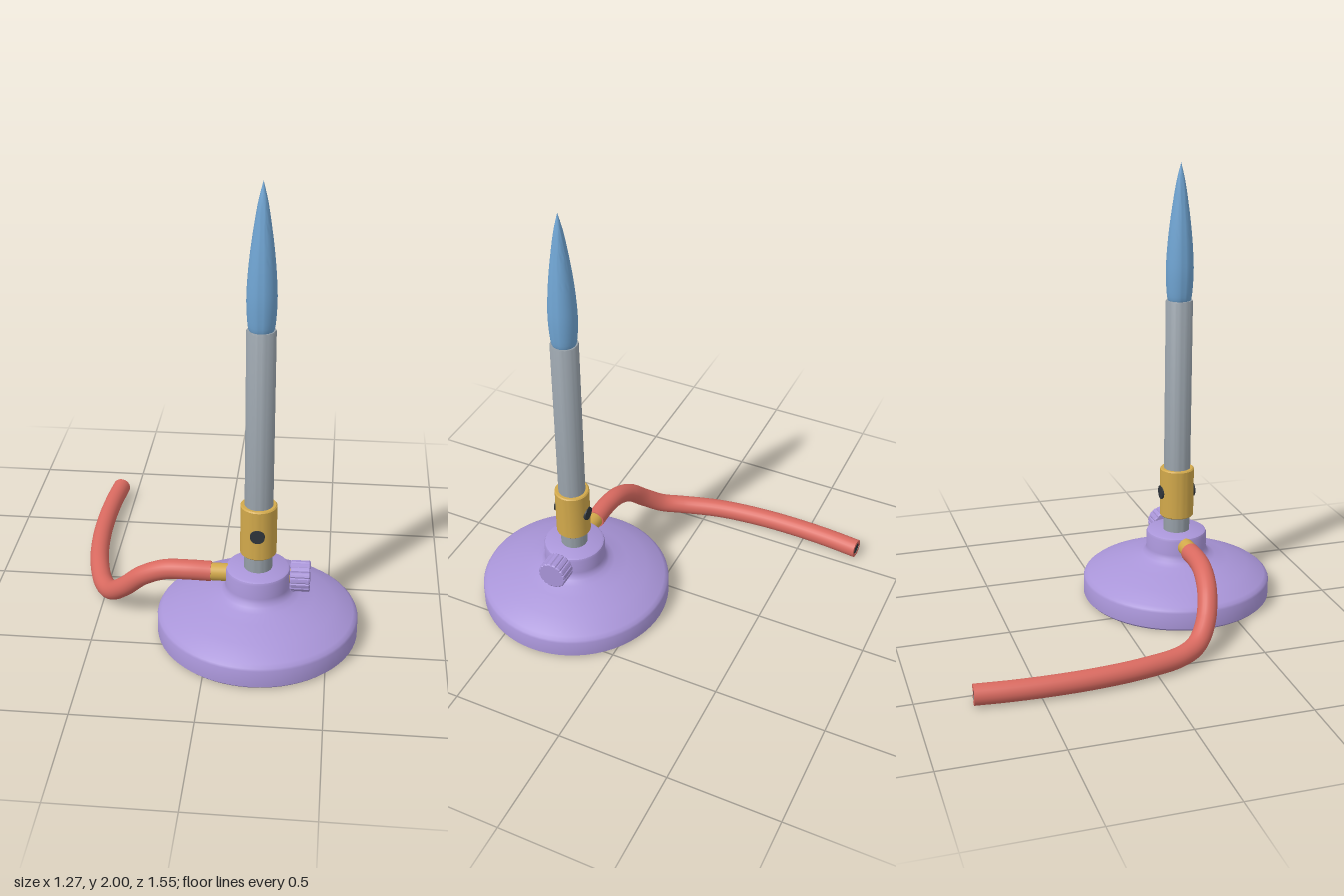
import * as THREE from 'three';
import { toCreasedNormals } from 'three/addons/utils/BufferGeometryUtils.js';

const mat = (name, color) => {
  const m = new THREE.MeshStandardMaterial({ color });
  m.name = name;
  return m;
};

export function createModel() {
  const lilac = mat('lilac enamel', 0xa995d8);
  const steel = mat('grey steel', 0x959ea6);
  const brass = mat('brass', 0xd2a94b);
  const rubber = mat('red rubber', 0xd96a60);
  const blue = mat('blue flame', 0x70a5d3);
  const dark = mat('dark opening', 0x30363c);

  const model = new THREE.Group();
  model.name = 'gasBurner';
  const burner = new THREE.Group();
  burner.name = 'burner';
  burner.position.set(0.2, 0, 0.34);
  model.add(burner);

  const add = (parent, name, geometry, material) => {
    const mesh = new THREE.Mesh(geometry, material);
    mesh.name = name;
    parent.add(mesh);
    return mesh;
  };
  // Turned part from [radius, height] points, listed from bottom to top
  const turned = (points, segments = 48) => toCreasedNormals(
    new THREE.LatheGeometry(points.map(([r, y]) => new THREE.Vector2(r, y)), segments), 0.6);

  // Foot with raised boss
  add(burner, 'base', turned([
    [0, 0.005], [0.42, 0.005], [0.43, 0.015], [0.43, 0.09], [0.425, 0.1], [0.41, 0.112],
    [0.33, 0.147], [0.24, 0.18], [0.18, 0.195], [0.155, 0.208], [0.142, 0.222], [0.138, 0.24],
    [0.138, 0.305], [0.134, 0.315], [0.125, 0.32], [0, 0.32],
  ], 64), lilac);

  // Hollow-mouthed barrel
  add(burner, 'barrel', turned([
    [0.06, 0.3], [0.06, 1.395], [0.057, 1.4], [0.05, 1.4], [0.05, 1.37], [0, 1.37],
  ]), steel);

  // Air collar with front and back ports
  add(burner, 'airCollar', turned([
    [0.06, 0.39], [0.072, 0.39], [0.077, 0.395], [0.077, 0.615], [0.072, 0.62], [0.06, 0.62],
  ]), brass);
  for (const side of [-1, 1]) {
    const port = add(burner, 'airPort', new THREE.CylinderGeometry(0.031, 0.031, 0.009, 24), dark);
    port.rotation.x = Math.PI / 2;
    port.position.set(0, 0.505, side * 0.0755);
  }

  // Flame
  const flameCurve = new THREE.SplineCurve([
    [0.046, 1.39], [0.055, 1.42], [0.061, 1.52], [0.057, 1.62], [0.048, 1.72],
    [0.035, 1.82], [0.019, 1.92], [0, 2],
  ].map(([r, y]) => new THREE.Vector2(r, y)));
  const flamePoints = flameCurve.getPoints(28).map(p => [Math.max(p.x, 0), p.y]);
  add(burner, 'flame', turned([[0, 1.39], ...flamePoints], 40), blue);

  // Fluted gas knob
  const outline = new THREE.Shape();
  const flutes = 16;
  for (let i = 0; i < flutes * 4; i++) {
    const a = i / (flutes * 4) * Math.PI * 2;
    const r = i % 4 === 0 ? 0.057 : 0.062;
    outline[i ? 'lineTo' : 'moveTo'](r * Math.cos(a), r * Math.sin(a));
  }
  const knob = add(burner, 'gasKnob', new THREE.ExtrudeGeometry(outline, {
    depth: 0.074, bevelThickness: 0.005, bevelSize: 0.004, bevelSegments: 1,
  }), lilac);
  knob.rotation.y = Math.PI / 2;
  knob.position.set(0.143, 0.28, 0);
  const stem = add(burner, 'knobStem', new THREE.CylinderGeometry(0.03, 0.03, 0.06, 20), brass);
  stem.rotation.z = Math.PI / 2;
  stem.position.set(0.12, 0.28, 0);

  // Gas inlet nozzle
  const nozzle = add(burner, 'gasInlet', new THREE.CylinderGeometry(0.038, 0.038, 0.16, 32), brass);
  nozzle.rotation.z = Math.PI / 2;
  nozzle.position.set(-0.18, 0.28, 0);

  // Hose falling from the nozzle and trailing backwards
  const path = new THREE.CatmullRomCurve3([
    [0, 0.28, 0.338], [-0.1, 0.281, 0.337], [-0.2, 0.27, 0.327], [-0.3, 0.222, 0.308],
    [-0.39, 0.135, 0.27], [-0.46, 0.07, 0.206], [-0.51, 0.051, 0.12], [-0.562, 0.05, -0.06],
    [-0.588, 0.05, -0.26], [-0.594, 0.05, -0.45], [-0.588, 0.05, -0.62], [-0.574, 0.05, -0.772],
  ].map(p => new THREE.Vector3(...p)), false, 'centripetal');
  add(model, 'hose', new THREE.TubeGeometry(path, 120, 0.043, 24, false), rubber);

  // Hose ends: rubber rims, with a dark bore at the free end
  const endCap = (name, t, inner, outer, direction, material, inset) => {
    const geometry = inner > 0 ? new THREE.RingGeometry(inner, outer, 24) : new THREE.CircleGeometry(outer, 24);
    const cap = add(model, name, geometry, material);
    const normal = path.getTangentAt(t).multiplyScalar(direction);
    cap.position.copy(path.getPointAt(t)).addScaledVector(normal, -inset);
    cap.quaternion.setFromUnitVectors(new THREE.Vector3(0, 0, 1), normal);
  };
  endCap('hoseRim', 0, 0.03, 0.043, -1, rubber, 0);
  endCap('hoseRim', 1, 0.026, 0.043, 1, rubber, 0);
  endCap('hoseBore', 1, 0, 0.028, 1, dark, 0.002);

  return model;
}
